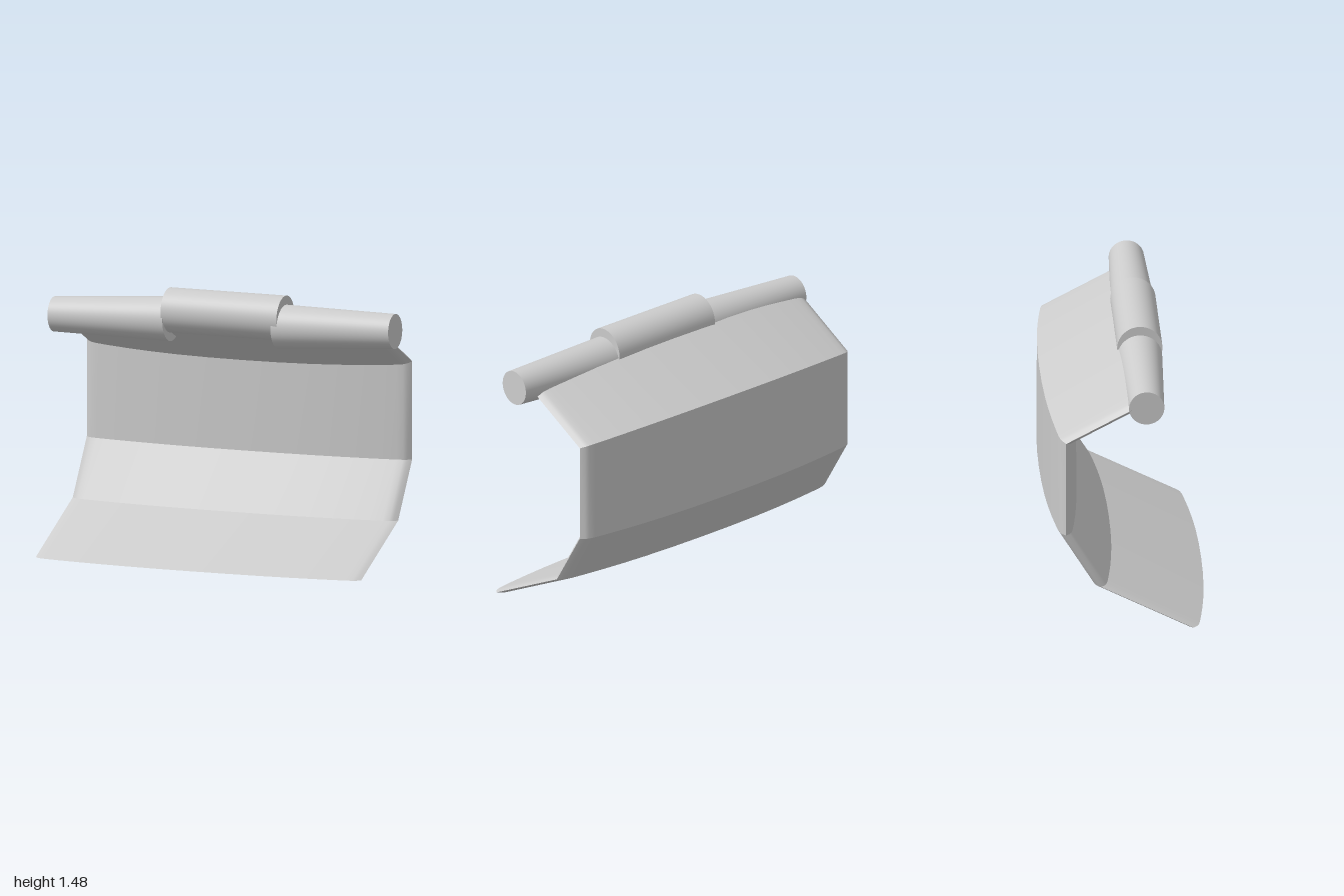
import * as THREE from 'three';

const material = new THREE.MeshStandardMaterial({ color: 0xcccccc, side: THREE.DoubleSide });

// Lens-shaped plan of the plate: [distance from middle, half thickness]
const MID = -0.045, HALF = 0.955;
const lens = [[0, 0.095], [0.2, 0.093], [0.4, 0.086], [0.55, 0.076], [0.68, 0.064],
  [0.8, 0.05], [0.88, 0.039], [0.915, 0.031], [0.935, 0.021], [HALF, 0]];
const stations = [
  ...lens.slice(1).reverse().map(([d, t]) => [MID - d, t]),
  ...lens.map(([d, t]) => [MID + d, t]),
];

// Bent centre line of the plate: y, z, and how y and z shift per unit thickness
const path = [
  [0, 0.345, 0, 1],
  [0.25, -0.152, 0, 1],
  [0.555, -0.34, 0, 1],
  [1.09, -0.34, -0.45, 0.97],
  [1.33, 0.11, -0.98, 0],
];

// One point of the plate; side is +1 at the front and -1 at the back
function platePoint([x, t], [y, z, ky, kz], side) {
  return [x, y + side * t * ky, z + side * t * kz];
}

// A smooth strip between two rows of points running along x
function strip(rowA, rowB, flip) {
  const n = rowA.length, index = [];
  for (let i = 0; i < n - 1; i++) {
    const a = i, b = i + 1, c = n + i + 1, d = n + i;
    if (flip) index.push(a, c, b, a, d, c);
    else index.push(a, b, c, a, c, d);
  }
  const geo = new THREE.BufferGeometry();
  geo.setAttribute('position', new THREE.Float32BufferAttribute([...rowA, ...rowB].flat(), 3));
  geo.setIndex(index);
  geo.computeVertexNormals();
  return geo;
}

function add(parent, name, geometry) {
  const mesh = new THREE.Mesh(geometry, material);
  mesh.name = name;
  parent.add(mesh);
  return mesh;
}

// Round bar between two points, with its own radius at each end
function bar(parent, name, from, to, r0, r1) {
  const a = new THREE.Vector3(...from), b = new THREE.Vector3(...to);
  const dir = b.clone().sub(a);
  const mesh = add(parent, name, new THREE.CylinderGeometry(r1, r0, dir.length(), 48));
  mesh.position.copy(a).add(b).multiplyScalar(0.5);
  mesh.quaternion.setFromUnitVectors(new THREE.Vector3(0, 1, 0), dir.normalize());
}

export function createModel() {
  const model = new THREE.Group();
  const plate = new THREE.Group();
  plate.name = 'bentPlate';
  model.add(plate);

  // Bent panels, front and back
  const row = (p, side) => stations.map((s) => platePoint(s, p, side));
  for (let j = 0; j < path.length - 1; j++) {
    for (const side of [1, -1]) {
      add(plate, (side > 0 ? 'frontPanel' : 'backPanel') + (j + 1),
        strip(row(path[j], side), row(path[j + 1], side), side < 0));
    }
  }

  // Closed ends of the plate
  const last = path[path.length - 1];
  add(plate, 'bottomEdge', strip(row(path[0], -1), row(path[0], 1), false));
  add(plate, 'topEdge', strip(row(last, 1), row(last, -1), false));

  // Handle bar along the top: thick grip and two tapering arms
  bar(model, 'centreGrip', [-0.325, 1.355, 0.094], [0.355, 1.355, 0.094], 0.122, 0.122);
  bar(model, 'rightArm', [-1, 1.288, 0.094], [-0.315, 1.307, 0.094], 0.095, 0.121);
  bar(model, 'leftArm', [0.32, 1.307, 0.094], [1, 1.325, 0.094], 0.121, 0.095);

  return model;
}
